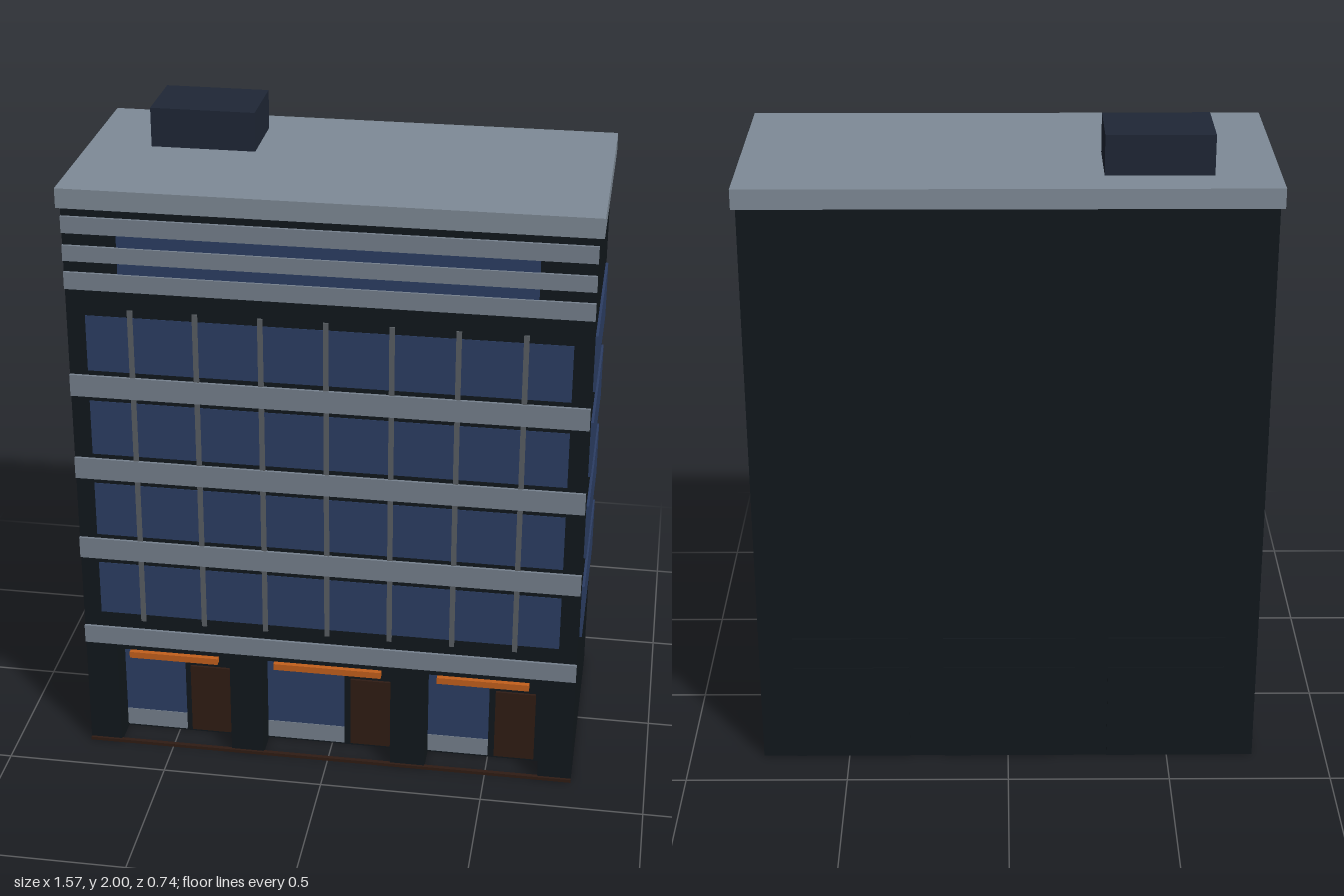
import * as THREE from 'three';

const mat = (color) => new THREE.MeshStandardMaterial({ color });

export function createModel() {
  const group = new THREE.Group();
  const wall = mat(0x11171c), band = mat(0x76818e), roofMat = mat(0x7f8b97);
  const glass = mat(0x2c3e64), metal = mat(0x5a5f64), orange = mat(0xc4601c);
  const wood = mat(0x301c14), plant = mat(0x1f2736);

  // box given by its min and max on each axis
  const box = (name, material, x0, x1, y0, y1, z0, z1) => {
    const mesh = new THREE.Mesh(new THREE.BoxGeometry(x1 - x0, y1 - y0, z1 - z0), material);
    mesh.position.set((x0 + x1) / 2, (y0 + y1) / 2, (z0 + z1) / 2);
    mesh.name = name;
    group.add(mesh);
    return mesh;
  };

  const W = 0.77, F = 0.362, R = 0.268, top = 1.82, lintel = 0.35;
  const shops = [
    { x0: -0.67, x1: -0.31, pane: -0.475, door: -0.457, awning: [-0.63, -0.348] },
    { x0: -0.207, x1: 0.2, pane: 0.04, door: 0.06, awning: [-0.17, 0.168] },
    { x0: 0.308, x1: 0.665, pane: 0.5, door: 0.52, awning: [0.343, 0.628] },
  ];

  // main block, and the front wall with three open shop bays
  box('mainBlock', wall, -W, W, 0, top, -F, R);
  const outline = [[-W, 0]];
  for (const s of shops) outline.push([s.x0, 0], [s.x0, lintel], [s.x1, lintel], [s.x1, 0]);
  outline.push([W, 0], [W, top], [-W, top]);
  const shape = new THREE.Shape(outline.map(([x, y]) => new THREE.Vector2(x, y)));
  const front = new THREE.Mesh(
    new THREE.ExtrudeGeometry(shape, { depth: F - R, bevelEnabled: false }), wall);
  front.position.z = R;
  front.name = 'frontWall';
  group.add(front);

  // shopfronts, with matching service panels at the back
  for (const s of shops) {
    box('shopWindow', glass, s.x0, s.pane, 0.07, 0.325, R, R + 0.006);
    box('shopPlinth', band, s.x0, s.pane, 0.01, 0.07, R, R + 0.008);
    box('shopDoor', wood, s.door, s.door + 0.126, 0.01, 0.25, R, R + 0.008);
    box('awning', orange, s.awning[0], s.awning[1], 0.322, 0.343, F - 0.02, F + 0.005);
    box('rearPanel', wall, s.x0, s.x1, 0, 0.32, -F - 0.003, -F);
    box('rearTrim', wall, s.x0, s.x1, 0.41, 0.425, -F - 0.005, -F);
  }
  box('threshold', wood, -W, W, 0, 0.01, F - 0.005, 0.37);

  // four office floors: front and side windows with a band under each
  for (let i = 0; i < 4; i++) {
    const y = 0.482 + i * 0.2767;
    box('frontWindow', glass, -0.714, 0.714, y, y + 0.177, F - 0.01, F + 0.002);
    for (const s of [-1, 1]) {
      const x = s * (W + 0.002);
      box('sideWindow', glass, x - 0.006, x + 0.006, y, y + 0.177, -0.283, 0.283);
    }
  }
  for (const [y0, y1] of [[0.37, 0.43], [0.676, 0.745], [0.952, 1.021], [1.228, 1.297],
    [1.572, 1.625], [1.66, 1.708], [1.746, 1.797]]) {
    box('facadeBand', band, -W, W, y0, y1, F - 0.01, 0.371);
  }

  // slim uprights across the office windows
  for (let i = -3; i <= 3; i++) {
    const x = i * 0.193;
    box('mullion', metal, x - 0.008, x + 0.008, 0.46, 1.513, F - 0.005, 0.367);
  }

  // louvred top floor, roof slab and plant room
  box('topWindow', glass, -0.61, 0.61, 1.6, 1.77, F - 0.01, F + 0.002);
  box('roofSlab', roofMat, -0.783, 0.783, top, 1.88, -0.37, 0.367);
  box('plantRoom', plant, -0.592, -0.276, 1.88, 2, -0.253, -0.03);

  return group;
}
